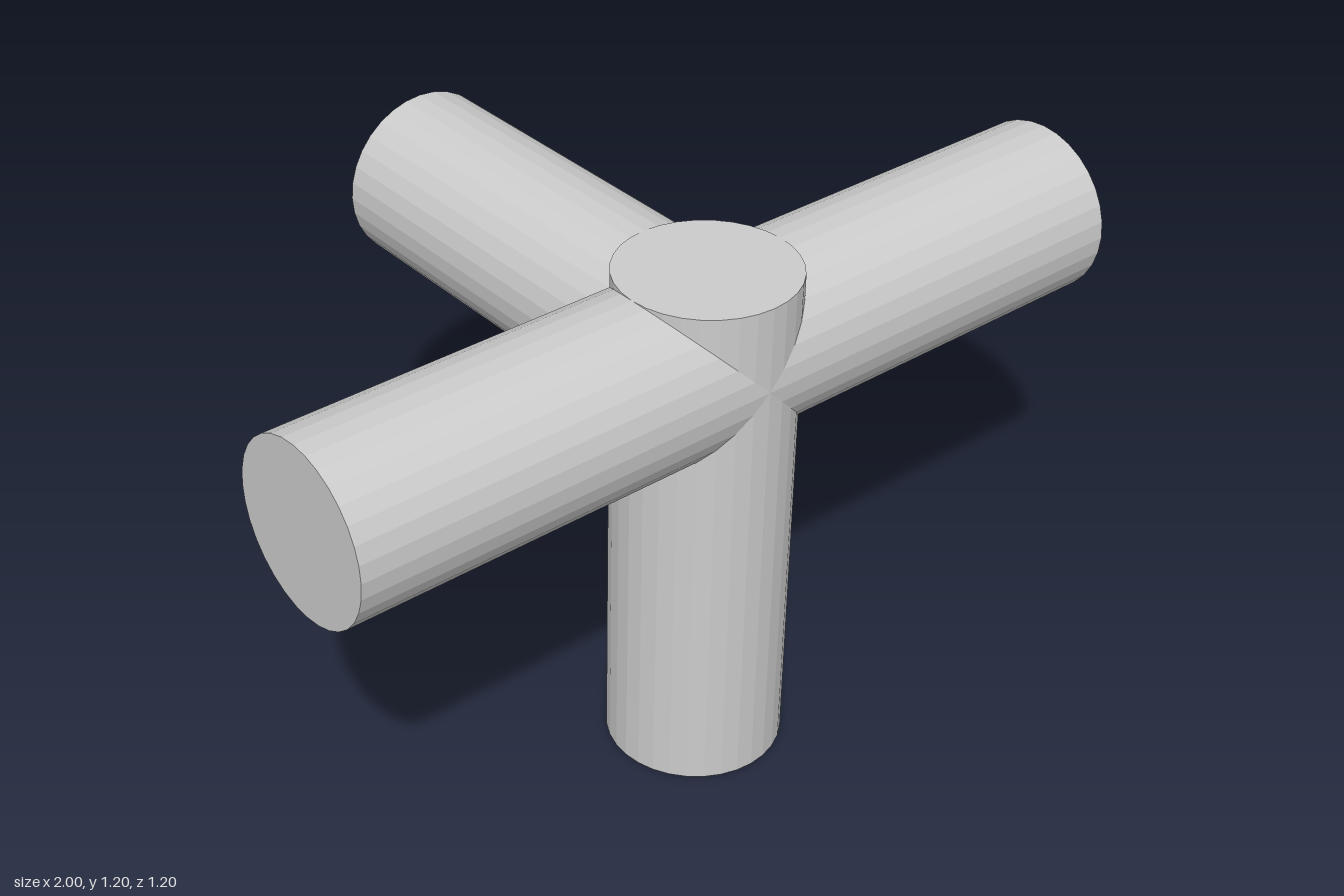
import * as THREE from 'three';

const RADIUS = 0.2;
const SIDES = 32;

export function createModel() {
  const group = new THREE.Group();
  group.name = 'pipeJunction';
  const material = new THREE.MeshStandardMaterial({ color: 0xcccccc, flatShading: true });

  // Capped round bar running between two points
  const addBar = (name, from, to) => {
    const start = new THREE.Vector3(...from);
    const end = new THREE.Vector3(...to);
    const axis = end.clone().sub(start);
    const bar = new THREE.Mesh(
      new THREE.CylinderGeometry(RADIUS, RADIUS, axis.length(), SIDES), material);
    bar.name = name;
    bar.position.copy(start).add(end).multiplyScalar(0.5);
    bar.quaternion.setFromUnitVectors(new THREE.Vector3(0, 1, 0), axis.normalize());
    group.add(bar);
  };

  // Upright post, its top flush with the upper side of the bars
  addBar('post', [0, 0, 0.4], [0, 1.2, 0.4]);
  // Bar running from side to side
  addBar('crossBar', [-1, 1, 0.4], [1, 1, 0.4]);
  // Arm running from the joint to the back
  addBar('backArm', [0, 1, 0.4], [0, 1, -0.6]);

  return group;
}
